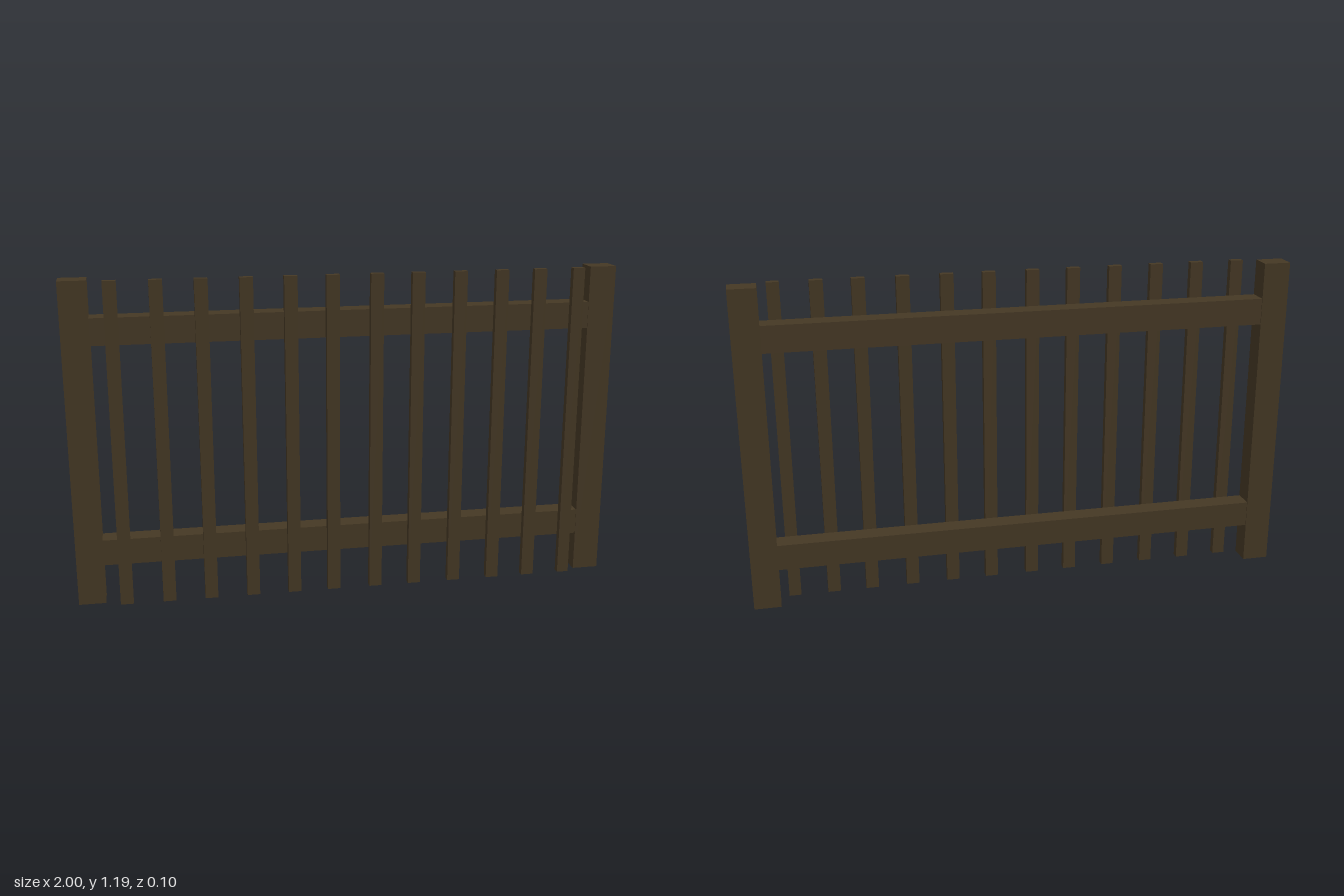
import * as THREE from 'three';

export function createModel() {
  const fence = new THREE.Group();
  fence.name = 'fence';
  const wood = new THREE.MeshStandardMaterial({ color: 0x453824 });

  // Box given by its extents along each axis
  const board = (name, [x0, x1], [y0, y1], [z0, z1]) => {
    const mesh = new THREE.Mesh(new THREE.BoxGeometry(x1 - x0, y1 - y0, z1 - z0), wood);
    mesh.position.set((x0 + x1) / 2, (y0 + y1) / 2, (z0 + z1) / 2);
    mesh.name = name;
    fence.add(mesh);
  };

  const height = 1.188;
  const faceZ = 0.027; // plane where the pickets meet the frame

  // End posts
  board('leftPost', [0.902, 1], [0, height], [-0.052, faceZ]);
  board('rightPost', [-1, -0.902], [0, height], [-0.052, faceZ]);

  // Horizontal rails, just inside the back of the posts
  board('topRail', [-0.902, 0.902], [0.961, 1.058], [-0.049, faceZ - 0.002]);
  board('bottomRail', [-0.902, 0.902], [0.148, 0.244], [-0.049, faceZ - 0.002]);

  // Pickets on the front, slightly uneven in spacing
  const centres = [-0.826, -0.671, -0.517, -0.361, -0.206, -0.057,
    0.102, 0.252, 0.407, 0.561, 0.704, 0.849];
  centres.forEach((x, i) => {
    const half = i === centres.length - 1 ? 0.022 : 0.0235;
    board(`picket${i + 1}`, [x - half, x + half], [0, height], [faceZ, 0.052]);
  });

  return fence;
}
